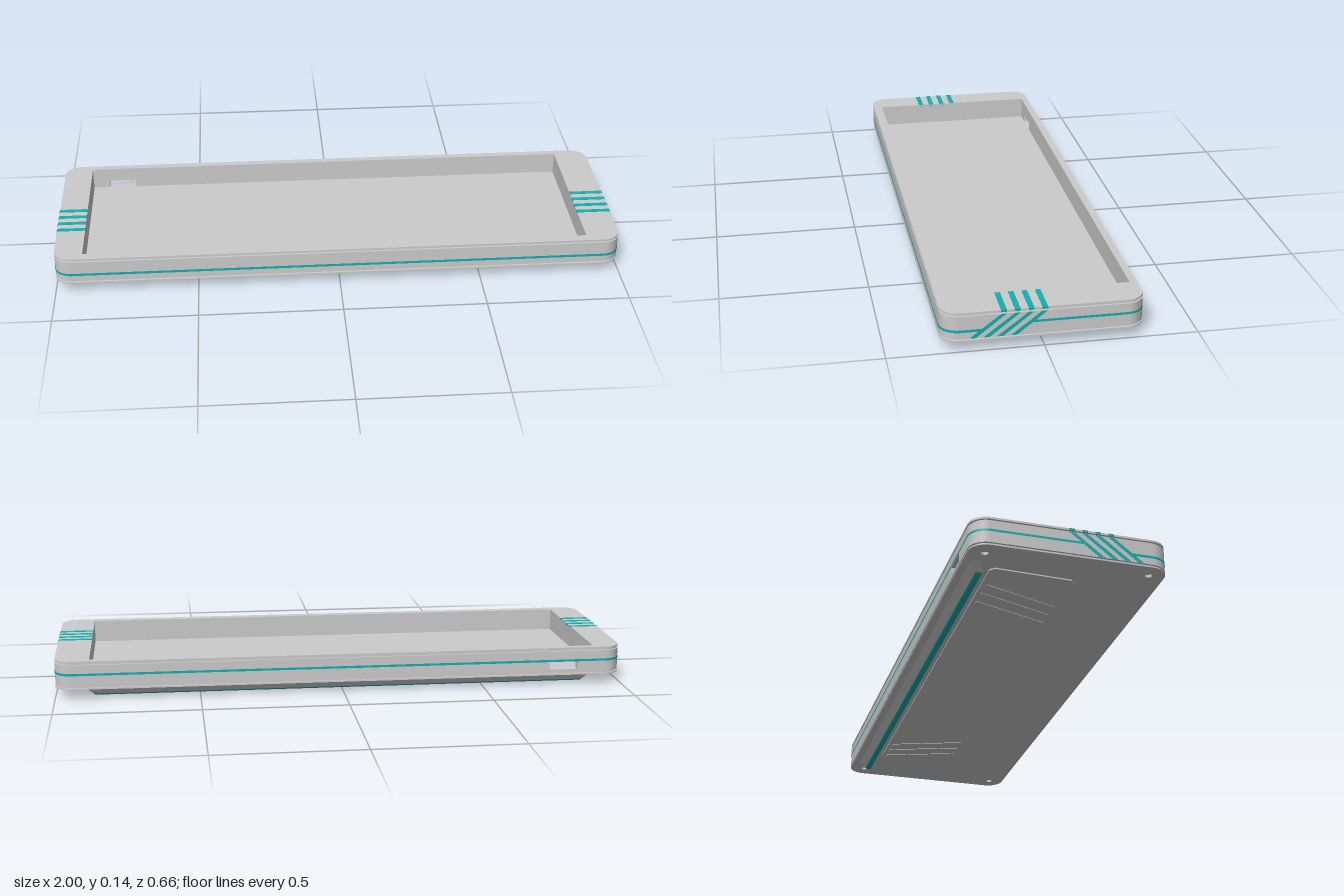
import * as THREE from 'three';
import { toCreasedNormals } from 'three/addons/utils/BufferGeometryUtils.js';

const HX = 1, HZ = 0.327, R = 0.06;
const CAVITY = { x0: -0.9, x1: 0.88, back: 0.302, front: -0.294 };
const PORT = { x0: -0.84, x1: -0.74 };
const V = (x, y) => new THREE.Vector2(x, y);

// Rounded outline in plan (plan y = -z), clockwise from the back left of the plan
function outline(inset = 0) {
  const pts = [], n = 10, r = R - inset;
  [[1, 1, 90], [1, -1, 0], [-1, -1, -90], [-1, 1, 180]].forEach(([sx, sy, a0]) => {
    for (let i = 0; i <= n; i++) {
      const a = THREE.MathUtils.degToRad(a0 - (90 * i) / n);
      pts.push(V(sx * (HX - R) + r * Math.cos(a), sy * (HZ - R) + r * Math.sin(a)));
    }
  });
  return pts;
}

// Plan shape raised from y0 to y1
function slab(shape, y0, y1) {
  const g = new THREE.ExtrudeGeometry(shape, { depth: y1 - y0, bevelEnabled: false, curveSegments: 10 });
  g.rotateX(-Math.PI / 2).translate(0, y0, 0);
  return toCreasedNormals(g, 0.5);
}

function cavityPath() {
  const c = CAVITY;
  return new THREE.Path([V(c.x0, c.front), V(c.x1, c.front), V(c.x1, c.back), V(c.x0, c.back)]);
}

function ring(inset) {
  const s = new THREE.Shape(outline(inset));
  s.holes.push(cavityPath());
  return s;
}

function drilled(inset) {
  const s = new THREE.Shape(outline(inset));
  for (const x of [-0.945, 0.945]) for (const y of [-0.272, 0.272]) {
    s.holes.push(new THREE.Path().absarc(x, y, 0.012, 0, Math.PI * 2));
  }
  return s;
}

// Wall ring interrupted by the cable port
function portRing() {
  const c = CAVITY, p = PORT;
  return new THREE.Shape([
    V(p.x1, HZ), ...outline(), V(p.x0, HZ), V(p.x0, c.back), V(c.x0, c.back), V(c.x0, c.front),
    V(c.x1, c.front), V(c.x1, c.back), V(p.x1, c.back),
  ]);
}

// Thin vertical band following plan points
function wallBand(pts, y0, y1) {
  const pos = [], idx = [];
  pts.forEach((p, i) => {
    pos.push(p.x, y0, -p.y, p.x, y1, -p.y);
    if (i) { const a = 2 * i - 2; idx.push(a, a + 2, a + 1, a + 1, a + 2, a + 3); }
  });
  const g = new THREE.BufferGeometry();
  g.setAttribute('position', new THREE.Float32BufferAttribute(pos, 3));
  g.setIndex(idx);
  g.computeVertexNormals();
  return g;
}

export function createModel() {
  const model = new THREE.Group();
  const grey = new THREE.MeshStandardMaterial({ color: 0xcccccc });
  const teal = new THREE.MeshStandardMaterial({ color: 0x10b0b0, side: THREE.DoubleSide });
  const add = (name, geo, mat = grey, parent = model) => {
    const m = new THREE.Mesh(geo, mat);
    m.name = name;
    parent.add(m);
    return m;
  };

  // Case layers, bottom to top, with shadow grooves
  add('bottomPlate', slab(drilled(0), 0.035, 0.04));
  add('lowerGroove', slab(drilled(0.007), 0.04, 0.045));
  add('trayFloor', slab(new THREE.Shape(outline()), 0.045, 0.056));
  add('portWall', slab(portRing(), 0.056, 0.085));
  add('upperWall', slab(ring(0), 0.085, 0.122));
  add('upperGroove', slab(ring(0.007), 0.122, 0.128));
  add('topLip', slab(ring(0), 0.128, 0.135));

  // Stripes wrapping the front and back
  const skin = outline(-0.001), X = HX + 0.001;
  const front = skin.filter((p) => p.y < 0), back = skin.filter((p) => p.y > 0);
  add('frontStripe', wallBand([V(X, -0.2), ...front, V(-X, -0.2)], 0.067, 0.076), teal);
  const half = back.length / 2;
  add('backStripe', wallBand([V(-X, -0.035), ...back.slice(half), ...back.slice(0, half), V(X, -0.035)], 0.084, 0.092), teal);

  // Slanted side stripes with their continuation over the lip
  for (const side of [-1, 1]) {
    const group = new THREE.Group();
    group.name = side > 0 ? 'leftStripes' : 'rightStripes';
    model.add(group);
    const inner = side > 0 ? CAVITY.x1 : -CAVITY.x0;
    for (let i = 0; i < 4; i++) {
      const z = -0.001 + i * 0.0435;
      const g = new THREE.ShapeGeometry(new THREE.Shape([
        V(z - 0.009, 0.122), V(z + 0.009, 0.122), V(z + 0.109, 0.045), V(z + 0.089, 0.045),
      ]));
      g.rotateY(-Math.PI / 2).translate(side * X, 0, 0);
      add('slantedStripe', g, teal, group);
      const top = new THREE.BoxGeometry(X - inner, 0.0078, 0.018);
      add('lipStripe', top, teal, group).position.set((side * (X + inner)) / 2, 0.1319, z);
    }
  }

  // Raised pad under the case, with slanted ribs near each end
  const pad = new THREE.Shape([
    V(-0.84, -0.06), V(0.82, -0.06), V(0.835, -0.045), V(0.79, 0.215),
    V(0.775, 0.23), V(-0.85, 0.23), V(-0.865, 0.215), V(-0.855, -0.045),
  ]);
  add('bottomPad', slab(pad, 0.0305, 0.035));
  for (const side of [-1, 1]) for (let i = 0; i < 3; i++) {
    const x = side * (0.55 + i * 0.06), d = side * 0.09;
    const rib = new THREE.Shape([V(x, -0.045), V(x + 0.018, -0.045), V(x + d + 0.018, 0.215), V(x + d, 0.215)]);
    add('padRib', slab(rib, 0.0285, 0.031));
  }

  // Leaning rear foot, its ends tapering inward toward the ground
  const bar = (pts) => {
    const g = new THREE.ExtrudeGeometry(new THREE.Shape(pts), { depth: 1.79, bevelEnabled: false });
    g.translate(0, 0, -0.895).rotateY(-Math.PI / 2);
    const p = g.attributes.position;
    for (let i = 0; i < p.count; i++) {
      const taper = 1 - Math.max(0, 0.035 - p.getY(i)) * 1.05;
      p.setX(i, p.getX(i) * taper);
    }
    g.computeVertexNormals();
    return g;
  };
  add('rearFoot', bar([V(-0.254, 0.007), V(-0.272, 0.036), V(-0.302, 0.036), V(-0.281, 0.007)]));
  add('footGrip', bar([V(-0.258, 0.007), V(-0.28, 0.007), V(-0.276, 0.002), V(-0.269, 0), V(-0.262, 0.002)]), teal);

  return model;
}
